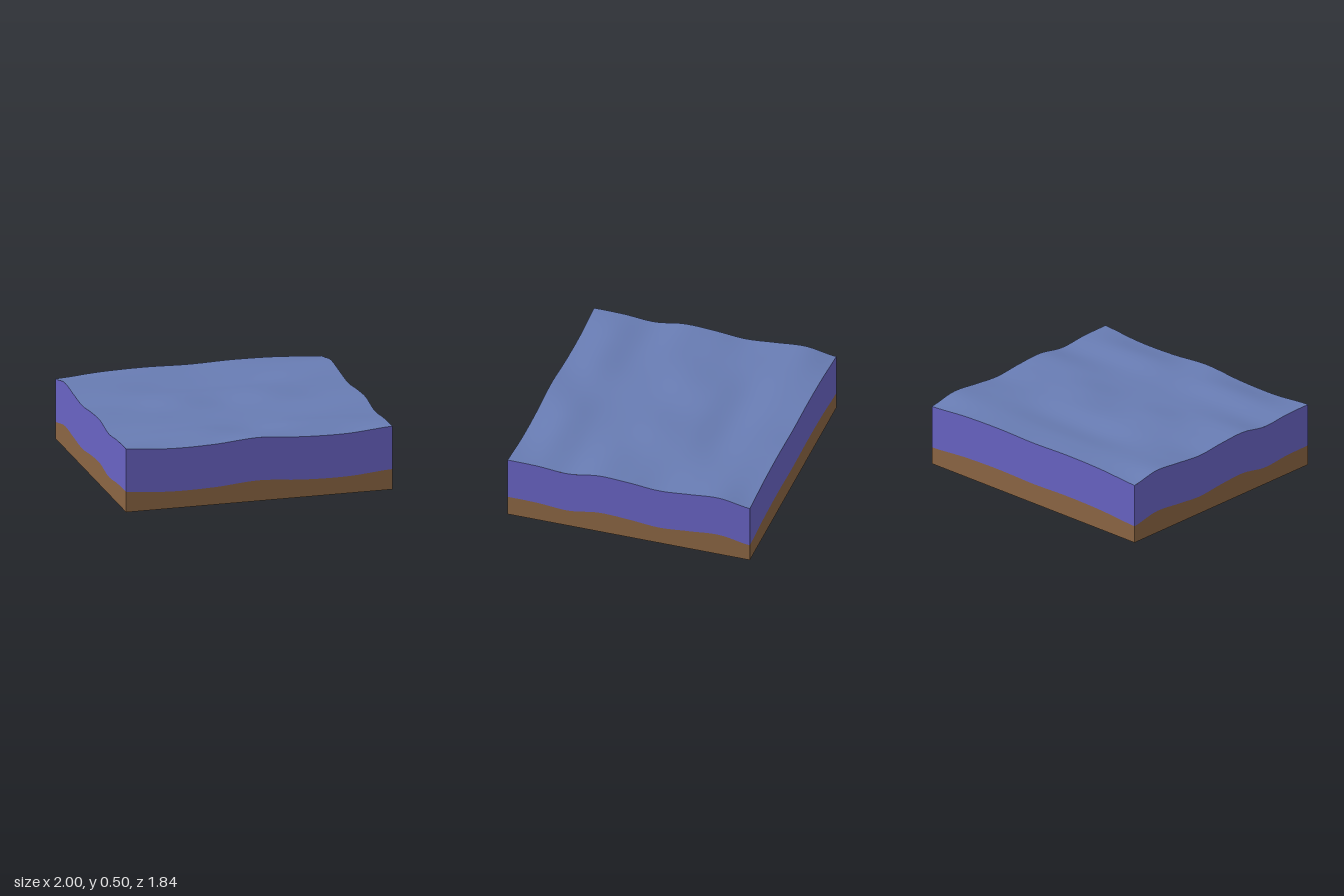
import * as THREE from 'three';

const HALF_X = 1, HALF_Z = 0.92, SEABED_DROP = 0.325, LEVEL = 0.47;

// Wave heights around LEVEL in thousandths: one row per |x| = 0, 1/3, 2/3, 1;
// each row runs from back to front. The waves mirror across x = 0.
const WAVES = [
  [8, 5, -20, 6, 2, -4, -10, 0, 10],
  [15, 10, -12, 12, 20, 0, -4, 18, -13],
  [8, 17, 6, 0, 6, 12, -6, 14, -17],
  [-15, 25, 8, -10, 10, 20, -13, 4, 8],
];

// Smooth curve through evenly spaced values, t from 0 to 1
function spline(values, t) {
  const last = values.length - 1;
  const p = THREE.MathUtils.clamp(t, 0, 1) * last;
  const i = Math.min(Math.floor(p), last - 1), f = p - i;
  const at = (k) => values[THREE.MathUtils.clamp(k, 0, last)];
  const m0 = (at(i + 1) - at(i - 1)) / 2, m1 = (at(i + 2) - at(i)) / 2;
  const d = at(i + 1) - at(i);
  return at(i) + f * (m0 + f * (3 * d - 2 * m0 - m1 + f * (m0 + m1 - 2 * d)));
}

function waterHeight(x, z) {
  const rows = WAVES.map((row) => spline(row, (z / HALF_Z + 1) / 2));
  const mirrored = [rows[3], rows[2], rows[1], rows[0], rows[1], rows[2], rows[3]];
  return LEVEL + spline(mirrored, (x / HALF_X + 1) / 2) / 1000;
}

const seabedHeight = (x, z) => waterHeight(x, z) - SEABED_DROP;

// Horizontal sheet shaped by a height rule
function makeSheet(name, height, material) {
  const geometry = new THREE.PlaneGeometry(2 * HALF_X, 2 * HALF_Z, 60, 54);
  geometry.rotateX(-Math.PI / 2);
  const p = geometry.attributes.position;
  for (let i = 0; i < p.count; i++) p.setY(i, height(p.getX(i), p.getZ(i)));
  geometry.computeVertexNormals();
  const mesh = new THREE.Mesh(geometry, material);
  mesh.name = name;
  return mesh;
}

// Four upright walls between a lower and an upper height rule
function makeWalls(name, lower, upper, material) {
  const walls = new THREE.Group();
  walls.name = name;
  ['Front', 'Left', 'Back', 'Right'].forEach((side, k) => {
    const [half, depth] = k % 2 ? [HALF_Z, HALF_X] : [HALF_X, HALF_Z];
    const geometry = new THREE.PlaneGeometry(2 * half, 1, 60, 1);
    geometry.translate(0, 0, depth).rotateY((k * Math.PI) / 2);
    const p = geometry.attributes.position;
    for (let i = 0; i < p.count; i++) {
      const rule = p.getY(i) > 0 ? upper : lower;
      p.setY(i, rule(p.getX(i), p.getZ(i)));
    }
    const mesh = new THREE.Mesh(geometry, material);
    mesh.name = name + side;
    walls.add(mesh);
  });
  return walls;
}

function makeMaterial(name, color) {
  return new THREE.MeshStandardMaterial({ name, color, side: THREE.DoubleSide });
}

export function createModel() {
  const surfaceBlue = makeMaterial('surface blue', 0x687cb3);
  const deepViolet = makeMaterial('deep water violet', 0x6863c3);
  const earthBrown = makeMaterial('earth brown', 0x8b6543);

  const model = new THREE.Group();
  model.name = 'waterBlock';
  model.add(
    // Rippled water on top
    makeSheet('waterSurface', waterHeight, surfaceBlue),
    // Cut sides of the water
    makeWalls('waterWall', seabedHeight, waterHeight, deepViolet),
    // Uneven seabed over an open base
    makeSheet('seabed', seabedHeight, earthBrown),
    makeWalls('groundWall', () => 0, seabedHeight, earthBrown),
  );
  return model;
}
